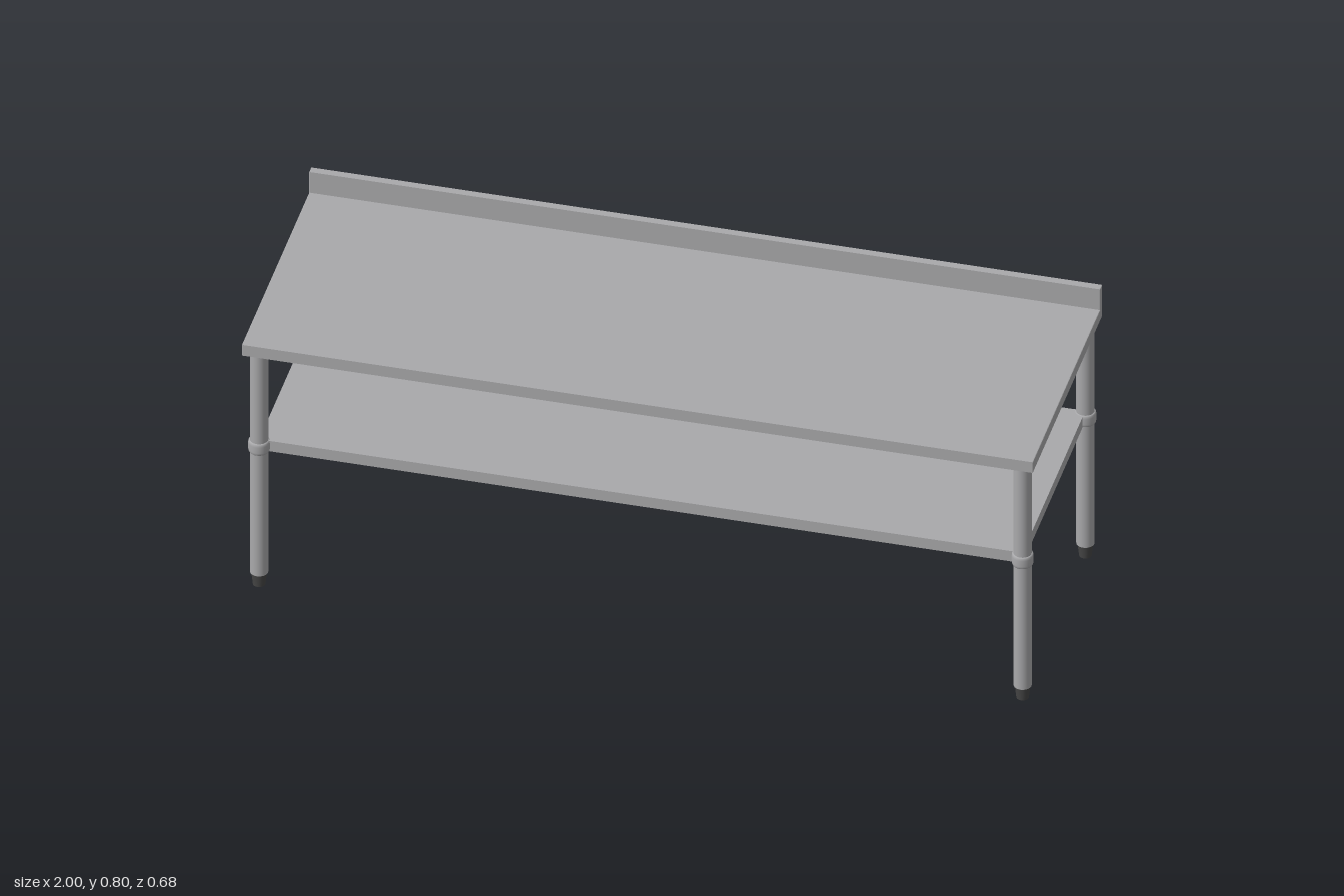
import * as THREE from 'three';

const steel = new THREE.MeshStandardMaterial({ color: 0xa9a9ab });
steel.name = 'brushed steel';
const rubber = new THREE.MeshStandardMaterial({ color: 0x464646 });
rubber.name = 'dark rubber';

function part(name, geometry, material, x = 0, y = 0, z = 0) {
  const mesh = new THREE.Mesh(geometry, material);
  mesh.name = name;
  mesh.position.set(x, y, z);
  return mesh;
}

// Side profile (z, y) swept along x, with finely eased edges
function sweepAlongX(points, length, bevel) {
  const shape = new THREE.Shape(points.map(([z, y]) => new THREE.Vector2(z, y)));
  const depth = length - 2 * bevel;
  const geometry = new THREE.ExtrudeGeometry(shape, {
    depth, bevelEnabled: true, bevelSize: bevel, bevelThickness: bevel,
    bevelOffset: -bevel, bevelSegments: 2,
  });
  return geometry.translate(0, 0, -depth / 2).rotateY(-Math.PI / 2);
}

export function createModel() {
  const table = new THREE.Group();
  table.name = 'work table';

  // Worktop with raised back edge
  table.add(part('worktop', sweepAlongX([
    [-0.342, 0.703], [0.342, 0.703], [0.342, 0.735],
    [-0.322, 0.735], [-0.322, 0.797], [-0.342, 0.797],
  ], 2, 0.002), steel));

  // Lower shelf, its corners reaching the leg centres
  const legX = 0.965, frontZ = 0.307, backZ = -0.312;
  table.add(part('shelf', new THREE.BoxGeometry(2 * legX, 0.031, frontZ - backZ),
    steel, 0, 0.4175, (frontZ + backZ) / 2));

  // Shared leg geometries
  const tube = new THREE.CylinderGeometry(0.0225, 0.0225, 0.668, 32);
  const foot = new THREE.CylinderGeometry(0.0195, 0.0155, 0.037, 32);
  const collar = new THREE.LatheGeometry([
    [0.022, 0], [0.0245, 0], [0.0262, 0.003], [0.027, 0.008],
    [0.027, 0.025], [0.0262, 0.03], [0.0245, 0.033], [0.022, 0.033],
  ].map(([r, y]) => new THREE.Vector2(r, y)), 32);

  // Four legs with shelf collars and tapered feet
  for (const x of [-legX, legX]) {
    for (const z of [frontZ, backZ]) {
      const leg = new THREE.Group();
      leg.name = (z > 0 ? 'front' : 'back') + (x > 0 ? 'Left' : 'Right') + 'Leg';
      leg.position.set(x, 0, z);
      leg.add(
        part('legTube', tube, steel, 0, 0.371),
        part('shelfCollar', collar, steel, 0, 0.401),
        part('foot', foot, rubber, 0, 0.0185),
      );
      table.add(leg);
    }
  }
  return table;
}
